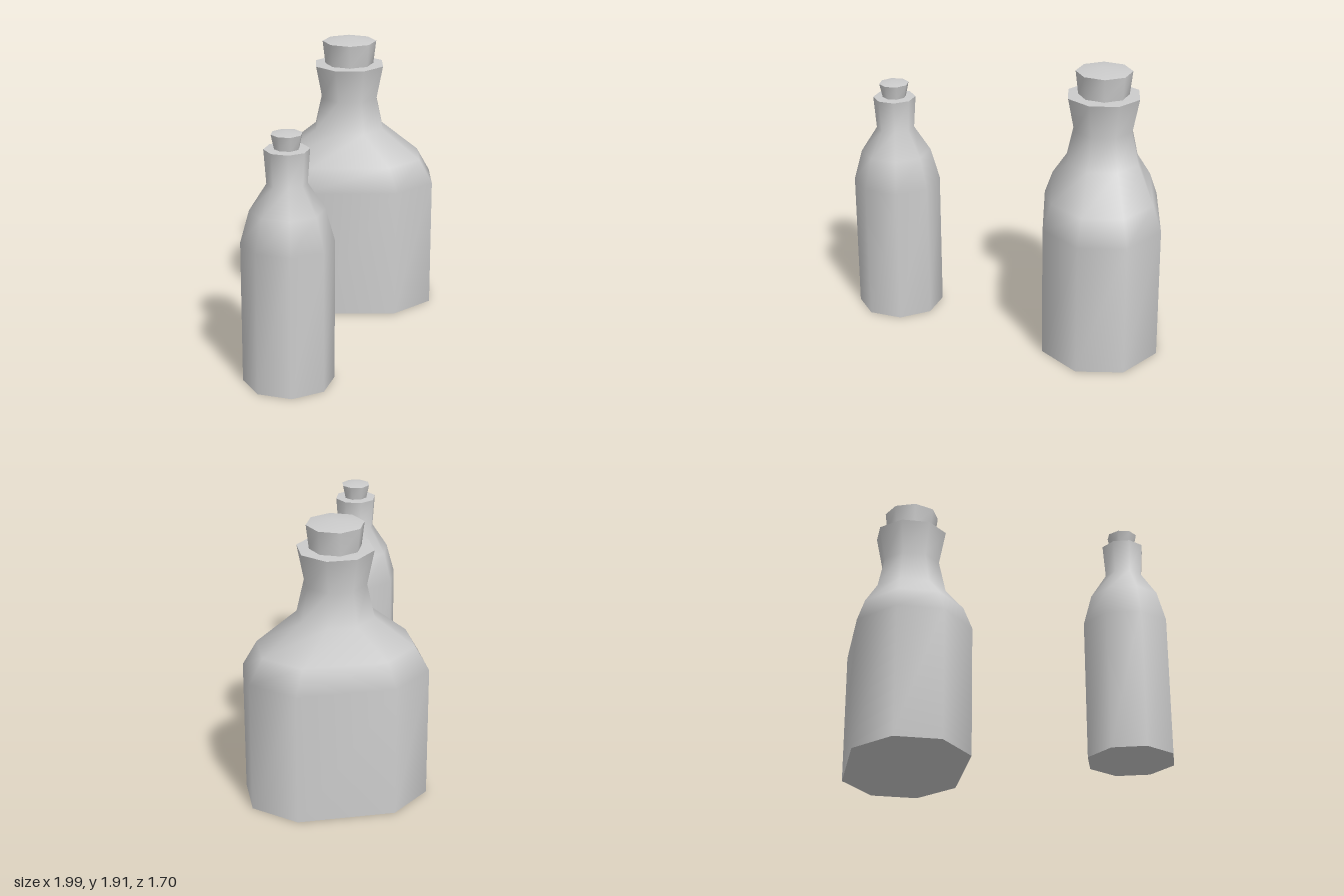
import * as THREE from 'three';

const rad = THREE.MathUtils.degToRad;
const material = new THREE.MeshStandardMaterial({ color: 0xcccccc });

// Eight-sided ring made by mirroring two corners of one quadrant
function ring(y, [x1, z1], [x2, z2]) {
  return [[x1, z1], [x2, z2], [-x2, z2], [-x1, z1], [-x1, -z1], [-x2, -z2], [x2, -z2], [x1, -z1]]
    .map(([x, z]) => new THREE.Vector3(x, y, z));
}

// Regular octagonal ring
function octagon(y, r) {
  const c = r * Math.cos(Math.PI / 8), s = r * Math.sin(Math.PI / 8);
  return ring(y, [c, s], [s, c]);
}

// Smooth wall through the rings, closed by separate caps; the top cap rises to a shallow peak
function loft(name, rings, peak) {
  const points = [], index = [], n = 8;
  const add = (p) => points.push(p.x, p.y, p.z) / 3 - 1;
  rings.forEach((r) => r.forEach(add));
  for (let j = 0; j < rings.length - 1; j++) {
    for (let i = 0; i < n; i++) {
      const a = j * n + i, b = j * n + (i + 1) % n;
      index.push(a, a + n, b, b, a + n, b + n);
    }
  }
  const cap = (loop, y, up) => {
    const centre = add(new THREE.Vector3(0, y, 0));
    const ids = loop.map(add);
    ids.forEach((id, i) => {
      const next = ids[(i + 1) % n];
      index.push(centre, up ? next : id, up ? id : next);
    });
  };
  cap(rings[0], rings[0][0].y, false);
  cap(rings[rings.length - 1], peak, true);
  const geometry = new THREE.BufferGeometry();
  geometry.setAttribute('position', new THREE.Float32BufferAttribute(points, 3));
  geometry.setIndex(index);
  geometry.computeVertexNormals();
  const mesh = new THREE.Mesh(geometry, material);
  mesh.name = name;
  return mesh;
}

// Glass body and stopper, turned together about the vertical axis
function bottle(name, x, z, turn, body, stopper, stopperTurn) {
  const group = new THREE.Group();
  group.name = name;
  stopper.rotation.y = -rad(stopperTurn);
  group.add(body, stopper);
  group.position.set(x, 0, z);
  group.rotation.y = -rad(turn);
  return group;
}

export function createModel() {
  const model = new THREE.Group();
  model.name = 'bottles';

  // Wide flask: elongated body, round flared neck
  const wideBody = loft('wideBottleBody', [
    ring(0, [0.58, 0.157], [0.318, 0.383]),
    ring(0.895, [0.58, 0.157], [0.318, 0.383]),
    ring(1.06, [0.49, 0.135], [0.272, 0.33]),
    octagon(1.27, 0.253),
    octagon(1.49, 0.203),
    octagon(1.72, 0.249),
  ], 1.73);
  const wideCork = loft('wideBottleCork', [octagon(1.72, 0.166), octagon(1.88, 0.185)], 1.91);
  model.add(bottle('wideBottle', 0.432, -0.36, 35, wideBody, wideCork, -22.5));

  // Slim bottle: round body, narrow neck
  const slimBody = loft('slimBottleBody', [
    octagon(0, 0.294),
    octagon(0.94, 0.294),
    octagon(1.15, 0.236),
    octagon(1.32, 0.127),
    octagon(1.54, 0.143),
  ], 1.548);
  const slimCork = loft('slimBottleCork', [octagon(1.54, 0.079), octagon(1.637, 0.1)], 1.655);
  model.add(bottle('slimBottle', -0.709, 0.561, 8, slimBody, slimCork, -11.5));

  return model;
}
